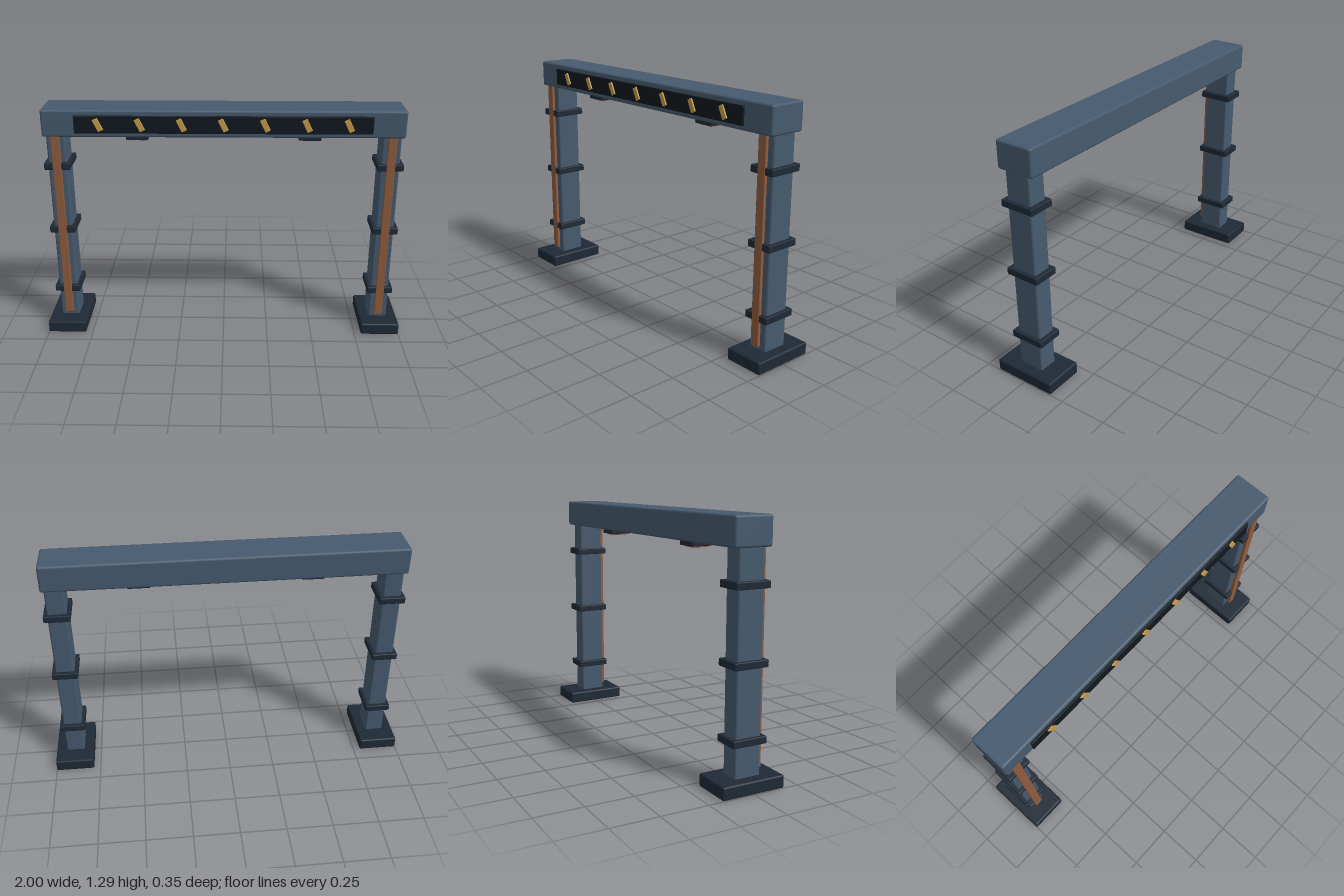
import * as THREE from 'three';
import { RoundedBoxGeometry } from 'three/addons/geometries/RoundedBoxGeometry.js';

const mat = (color) => new THREE.MeshStandardMaterial({ color });

export function createModel() {
  const steel = mat(0x465a6e), dark = mat(0x1f2935), panel = mat(0x10181e);
  const copper = mat(0x8f5c3e), gold = mat(0xc49a4a), amber = mat(0xa8502a);
  const model = new THREE.Group();
  model.name = 'gantry';

  // Rounded box given by its size and centre
  function box(parent, name, material, [w, h, d], [x, y, z], r = 0.006) {
    const mesh = new THREE.Mesh(new RoundedBoxGeometry(w, h, d, 2, r), material);
    mesh.name = name;
    mesh.position.set(x, y, z);
    parent.add(mesh);
    return mesh;
  }

  // Crossbeam with its front sign
  box(model, 'crossbeam', steel, [1.91, 0.147, 0.208], [0, 1.2215, 0], 0.012);
  box(model, 'signPanel', panel, [1.56, 0.094, 0.02], [0, 1.22, 0.105], 0.003);
  for (let i = -3; i <= 3; i++) {
    const stripe = box(model, 'signStripe', gold, [0.03, 0.07, 0.012], [i * 0.218, 1.22, 0.117], 0.003);
    stripe.rotation.z = 0.45;
  }

  for (const side of [-1, 1]) {
    // Leg: foot, column, copper strip and three bands
    const leg = new THREE.Group();
    leg.name = side > 0 ? 'leftLeg' : 'rightLeg';
    leg.position.x = side * 0.893;
    model.add(leg);
    box(leg, 'foot', dark, [0.214, 0.066, 0.346], [0, 0.033, 0], 0.009);
    box(leg, 'column', steel, [0.102, 1.12, 0.142], [-side * 0.003, 0.61, 0], 0.01);
    box(leg, 'copperStrip', copper, [0.047, 1.08, 0.019], [-side * 0.003, 0.63, 0.0865], 0.004);
    for (const y of [0.242, 0.611, 0.98]) {
      box(leg, 'band', dark, [0.14, 0.037, 0.188], [-side * 0.003, y, 0], 0.005);
    }

    // Lamp under the beam
    const lamp = new THREE.Group();
    lamp.name = 'lamp';
    lamp.position.x = side * 0.458;
    model.add(lamp);
    box(lamp, 'lampHousing', dark, [0.12, 0.03, 0.12], [0, 1.135, 0], 0.005);
    box(lamp, 'lampLens', amber, [0.083, 0.014, 0.083], [0, 1.12, 0], 0.003);
  }
  return model;
}
